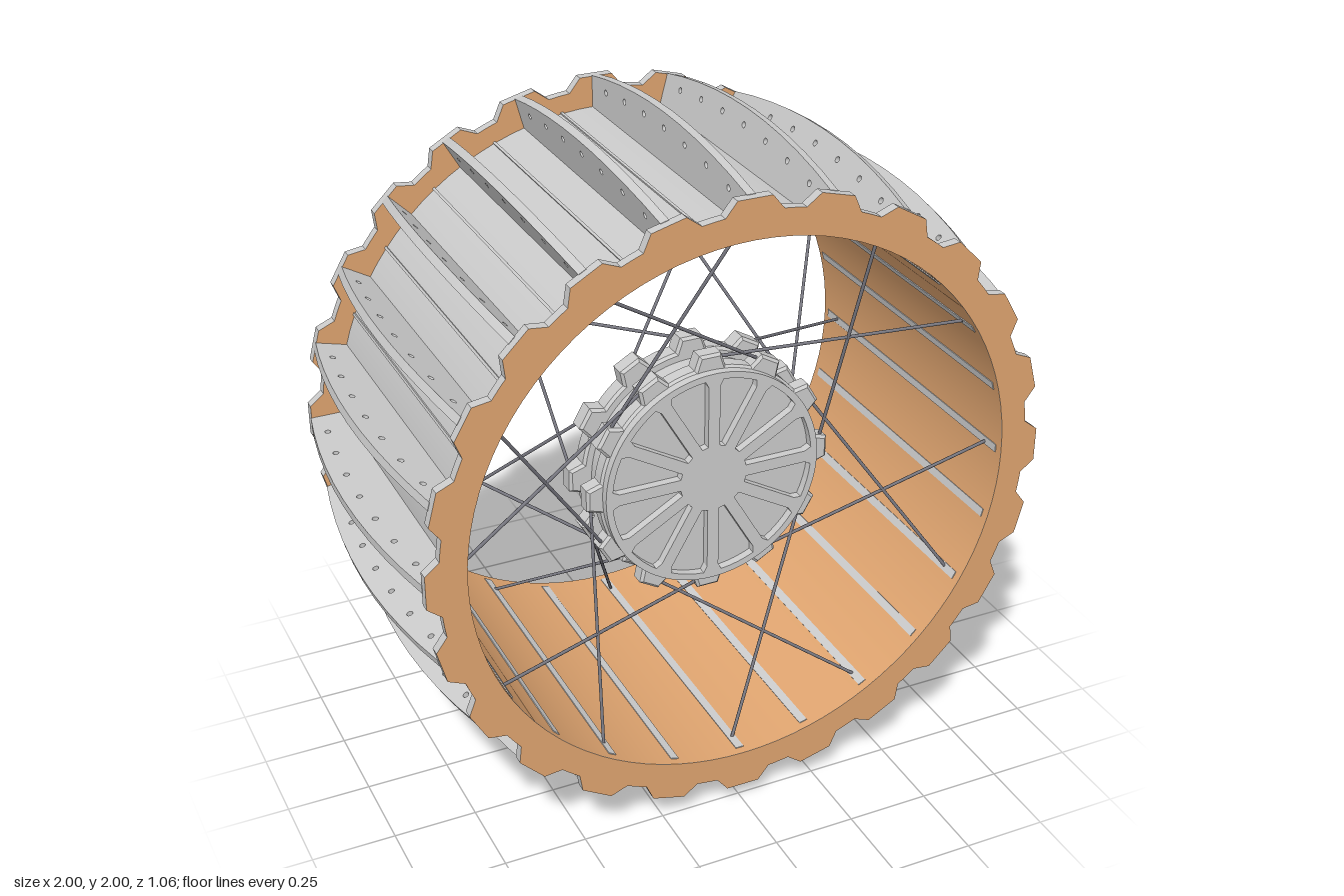
import * as THREE from 'three';

const grey = new THREE.MeshStandardMaterial({ color: 0xcccccc });
const orange = new THREE.MeshStandardMaterial({ color: 0xe0a570 });
const orangeInside = new THREE.MeshStandardMaterial({ color: 0xe0a570, side: THREE.BackSide });
const shaftMaterial = new THREE.MeshStandardMaterial({ color: 0xb4b4cc });
const spokeMaterial = new THREE.MeshStandardMaterial({ color: 0x777780 });
const DEG = Math.PI / 180;
const polar = (r, deg) => new THREE.Vector2(r * Math.cos(deg * DEG), r * Math.sin(deg * DEG));

function add(parent, name, geometry, material) {
  const mesh = new THREE.Mesh(geometry, material);
  mesh.name = name;
  parent.add(mesh);
  return mesh;
}

// Toothed outline: straight-flanked teeth joined by arcs at the root
function gearShape(teeth, rootR, tipR, rootHalf, tipHalf) {
  const points = [];
  const step = 360 / teeth;
  for (let i = 0; i < teeth; i++) {
    const a = i * step;
    points.push(polar(rootR, a - rootHalf), polar(tipR, a - tipHalf), polar(tipR, a + tipHalf));
    for (let k = 0; k < 4; k++) points.push(polar(rootR, a + rootHalf + (step - 2 * rootHalf) * k / 4));
  }
  return new THREE.Shape(points);
}

function extrude(shape, z, depth, bevel = 0) {
  const geometry = new THREE.ExtrudeGeometry(shape, {
    depth: depth - 2 * bevel, curveSegments: 48, bevelEnabled: bevel > 0,
    bevelSize: bevel, bevelThickness: bevel, bevelOffset: -bevel, bevelSegments: 1,
  });
  return geometry.translate(0, 0, z + bevel);
}

// Cylinder lying along z
function drum(r, z0, z1, open = false, segments = 96) {
  return new THREE.CylinderGeometry(r, r, z1 - z0, segments, 1, open)
    .rotateX(Math.PI / 2).translate(0, 0, (z0 + z1) / 2);
}

// Upright cleat: bowed outer edge and a row of bolt holes
function cleatGeometry() {
  const shape = new THREE.Shape();
  shape.moveTo(-0.505, 0.822);
  shape.lineTo(0.505, 0.822);
  shape.lineTo(0.505, 0.945);
  shape.quadraticCurveTo(0, 1.055, -0.505, 0.945);
  for (let i = -3; i <= 3; i++) {
    const z = i * 0.133;
    const hole = new THREE.Path();
    hole.absarc(z, 0.953 - 0.18 * z * z, 0.009, 0, Math.PI * 2, true);
    shape.holes.push(hole);
  }
  return new THREE.ExtrudeGeometry(shape, { depth: 0.025, bevelEnabled: false, curveSegments: 10 })
    .translate(0, 0, -0.0125).rotateY(Math.PI / 2);
}

function buildRim(wheel) {
  const rim = new THREE.Group();
  rim.name = 'rim';
  add(rim, 'outerShell', drum(0.85, -0.505, 0.505, true), grey);
  add(rim, 'innerLining', drum(0.825, -0.53, 0.53, true), orangeInside);

  // Toothed end rings
  const ring = gearShape(24, 0.905, 0.945, 5.4, 3.1);
  const bore = new THREE.Path();
  bore.absarc(0, 0, 0.826, 0, Math.PI * 2, true);
  ring.holes.push(bore);
  add(rim, 'frontRing', extrude(ring, 0.5, 0.03), [orange, grey]);
  add(rim, 'backRing', extrude(ring, -0.53, 0.03), [orange, grey]);

  // Cleats with a panel seam midway between each pair
  const cleat = cleatGeometry();
  const seam = new THREE.BoxGeometry(0.008, 0.012, 1.0).translate(0, 0.849, 0);
  for (let i = 0; i < 24; i++) {
    add(rim, 'cleat', cleat, grey).rotation.z = i * 15 * DEG;
    add(rim, 'panelSeam', seam, grey).rotation.z = (i + 0.5) * 15 * DEG;
  }
  wheel.add(rim);
}

function buildHub(wheel) {
  const hub = new THREE.Group();
  hub.name = 'hub';
  const flange = () => gearShape(12, 0.342, 0.383, 8, 5);
  add(hub, 'backFlange', extrude(flange(), 0.1, 0.06, 0.008), grey);
  add(hub, 'hubDrum', drum(0.315, 0.15, 0.25), grey);
  add(hub, 'frontFlange', extrude(flange(), 0.23, 0.055, 0.008), grey);

  // Ribbed face with twelve wedge pockets
  const face = new THREE.Shape();
  face.absarc(0, 0, 0.335, 0, Math.PI * 2, false);
  const half = (r) => 15 - Math.asin(0.018 / r) / DEG;
  for (let i = 0; i < 12; i++) {
    const mid = i * 30 + 15;
    const p = [polar(0.105, mid - half(0.105)), polar(0.295, mid - half(0.295))];
    for (let k = -2; k <= 2; k++) p.push(polar(0.315, mid + k * half(0.315) * 0.42));
    p.push(polar(0.295, mid + half(0.295)), polar(0.105, mid + half(0.105)));
    face.holes.push(new THREE.Path(p.reverse()));
  }
  add(hub, 'ribbedFace', extrude(face, 0.284, 0.026), grey);

  // Axle stub with a flared root and chamfered end
  const profile = [[0, -0.14], [0.1, -0.14], [0.113, -0.127], [0.113, 0.07], [0.12, 0.09], [0.135, 0.105]]
    .map(([r, z]) => new THREE.Vector2(r, z));
  const axle = new THREE.LatheGeometry(profile, 48).rotateX(Math.PI / 2);
  const axleMesh = add(hub, 'axle', axle, shaftMaterial);
  axleMesh.material.side = THREE.DoubleSide;
  wheel.add(hub);
}

// Crossed spokes from both hub flanges to both edges of the rim
function buildSpokes(wheel) {
  const spokes = new THREE.Group();
  spokes.name = 'spokes';
  for (const side of [1, -1]) {
    for (let i = 0; i < 12; i++) {
      const lean = (i % 2 ? 60 : -60) * side;
      const rimPoint = polar(0.83, i * 30);
      const hubPoint = polar(0.362, i * 30 + lean);
      const a = new THREE.Vector3(rimPoint.x, rimPoint.y, side * 0.45);
      const b = new THREE.Vector3(hubPoint.x, hubPoint.y, side > 0 ? 0.258 : 0.13);
      add(spokes, 'spoke', new THREE.TubeGeometry(new THREE.LineCurve3(a, b), 1, 0.005, 8), spokeMaterial);
    }
  }
  wheel.add(spokes);
}

export function createModel() {
  const wheel = new THREE.Group();
  wheel.name = 'wheel';
  buildRim(wheel);
  buildHub(wheel);
  buildSpokes(wheel);
  wheel.position.y = 1;
  const model = new THREE.Group();
  model.name = 'cleatedWheel';
  model.add(wheel);
  return model;
}
